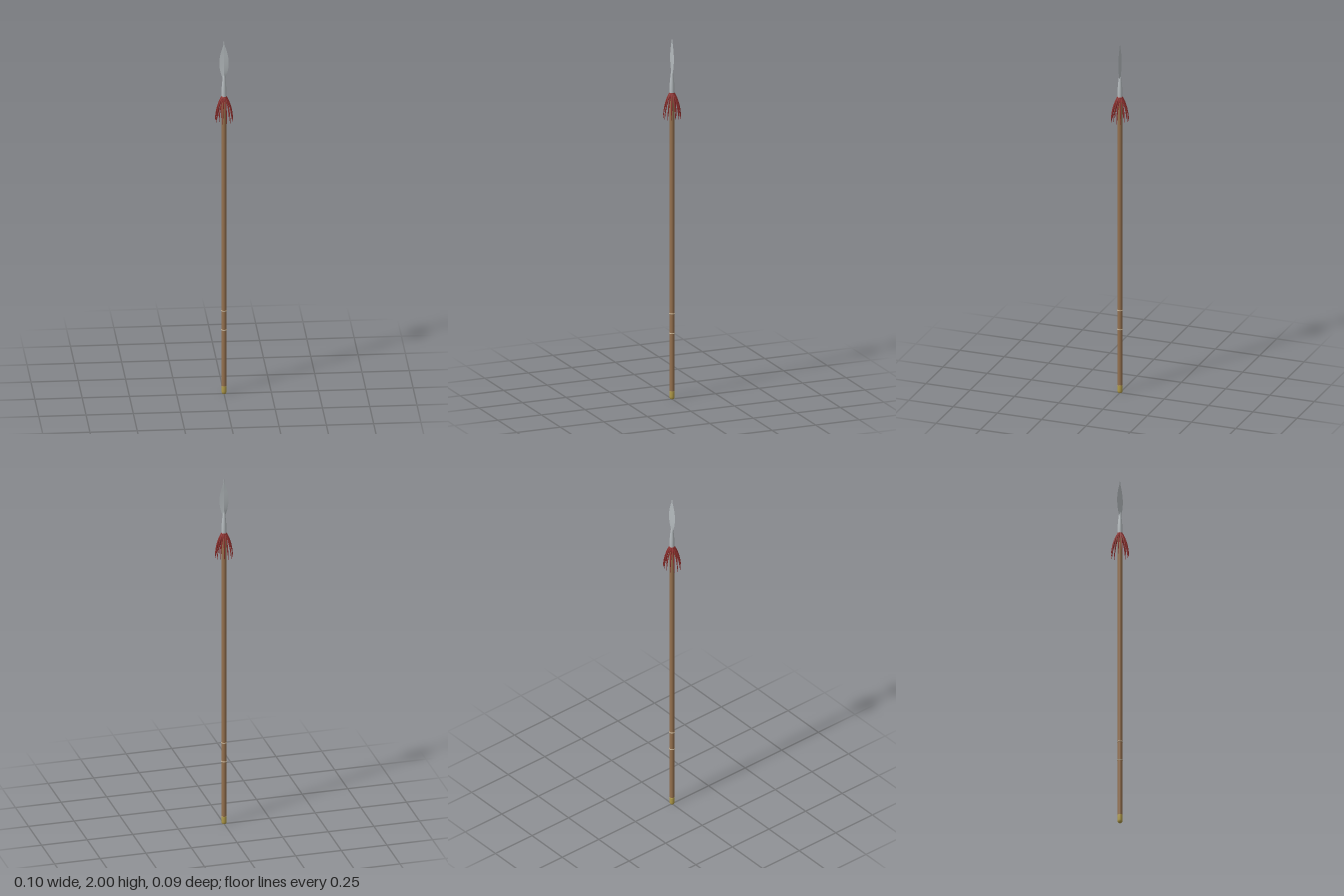
import * as THREE from 'three';

const material = (color) => new THREE.MeshStandardMaterial({ color, side: THREE.DoubleSide });
const WOOD = material(0x94704e), STEEL = material(0xb4babd), BRASS = material(0xb09a48);
const RED = material(0x8c2e2c), CORD = material(0xc9b79a);

function add(group, name, geometry, mat) {
  const mesh = new THREE.Mesh(geometry, mat);
  mesh.name = name;
  group.add(mesh);
  return mesh;
}

const lathe = (points, segments = 24) =>
  new THREE.LatheGeometry(points.map(([r, y]) => new THREE.Vector2(r, y)), segments);

// Leaf blade: diamond cross-sections, each facet its own strip so the ridges stay sharp
function bladeGeometry() {
  const width = new THREE.SplineCurve([
    [0.007, 1.775], [0.011, 1.795], [0.02, 1.825], [0.025, 1.868], [0.021, 1.91],
    [0.012, 1.945], [0.004, 1.97], [0.0005, 2],
  ].map(([w, y]) => new THREE.Vector2(w, y)));
  const sections = width.getPoints(32);
  const positions = [], indices = [];
  for (let side = 0; side < 4; side++) {
    const base = positions.length / 3;
    sections.forEach(({ x: w, y }, i) => {
      const thick = THREE.MathUtils.lerp(0.006, 0.0006, Math.min(1, (y - 1.775) / 0.15));
      for (const corner of [side, side + 1]) {
        const a = corner * Math.PI / 2;
        positions.push(w * Math.cos(a), y, thick * Math.sin(a));
      }
      if (i < sections.length - 1) {
        const k = base + i * 2;
        indices.push(k, k + 2, k + 1, k + 1, k + 2, k + 3);
      }
    });
  }
  const geometry = new THREE.BufferGeometry();
  geometry.setAttribute('position', new THREE.Float32BufferAttribute(positions, 3));
  geometry.setIndex(indices);
  geometry.computeVertexNormals();
  return geometry;
}

// Tassel strand: a drooping tube whose rings taper towards the tip
function strandGeometry() {
  const curve = new THREE.CatmullRomCurve3([
    [0.009, 1.682], [0.021, 1.66], [0.035, 1.622], [0.043, 1.585], [0.048, 1.542],
  ].map(([x, y]) => new THREE.Vector3(x, y, 0)));
  const rings = 14, sides = 6;
  const geometry = new THREE.TubeGeometry(curve, rings, 1, sides);
  const p = geometry.attributes.position, v = new THREE.Vector3();
  for (let i = 0; i <= rings; i++) {
    const t = i / rings;
    const centre = curve.getPointAt(t);
    const radius = 0.0045 * Math.pow(1 - t, 0.55) + 0.0004;
    for (let j = 0; j <= sides; j++) {
      const k = i * (sides + 1) + j;
      v.fromBufferAttribute(p, k).sub(centre).multiplyScalar(radius).add(centre);
      p.setXYZ(k, v.x, v.y, v.z);
    }
  }
  geometry.computeVertexNormals();
  return geometry;
}

export function createModel() {
  const spear = new THREE.Group();
  spear.name = 'spear';

  // Shaft
  const shaft = add(spear, 'shaft', new THREE.CylinderGeometry(0.0125, 0.0125, 1.66, 24), WOOD);
  shaft.position.y = 0.86;

  // Brass foot with a rounded end
  add(spear, 'buttCap', lathe([
    [0, 0], [0.009, 0.001], [0.0125, 0.006], [0.014, 0.014], [0.014, 0.043], [0.0125, 0.045],
  ]), BRASS);

  // Thin bands around the grip
  for (const y of [0.362, 0.47]) {
    const band = add(spear, 'gripBand', new THREE.TorusGeometry(0.0128, 0.0026, 8, 24), CORD);
    band.rotation.x = Math.PI / 2;
    band.position.y = y;
  }

  // Socket and blade
  add(spear, 'socket', lathe([
    [0.0135, 1.665], [0.0135, 1.70], [0.0125, 1.73], [0.0105, 1.755], [0.008, 1.778],
    [0.005, 1.8], [0, 1.815],
  ]), STEEL);
  add(spear, 'blade', bladeGeometry(), STEEL);

  // Red tassel and its binding
  const tassel = new THREE.Group();
  tassel.name = 'tassel';
  spear.add(tassel);
  const binding = add(tassel, 'tasselBinding', new THREE.TorusGeometry(0.0125, 0.003, 8, 24), RED);
  binding.rotation.x = Math.PI / 2;
  binding.position.y = 1.68;
  const strand = strandGeometry();
  const count = 14;
  for (let i = 0; i < count; i++) {
    add(tassel, 'tasselStrand', strand, RED).rotation.y = i * 2 * Math.PI / count;
  }

  return spear;
}
